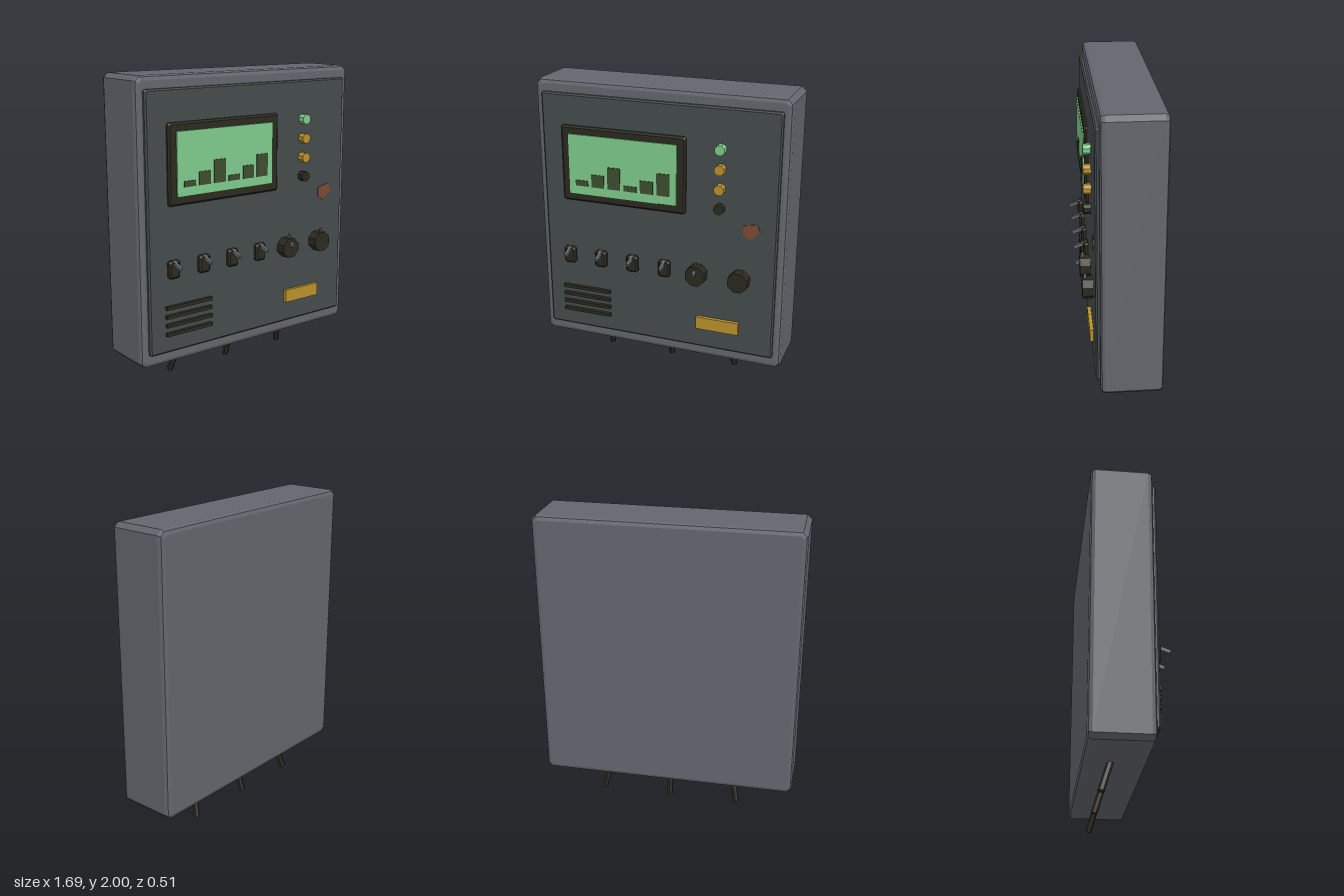
import * as THREE from 'three';

const mat = (name, color, side = THREE.FrontSide) => {
  const m = new THREE.MeshStandardMaterial({ color, side });
  m.name = name;
  return m;
};

export function createModel() {
  const model = new THREE.Group();
  model.name = 'controlPanel';
  const casing = mat('casingGrey', 0x63666d);
  const plate = mat('plateGrey', 0x454b4c);
  const dark = mat('darkPlastic', 0x2b2a20);
  const green = mat('screenGreen', 0x7ecb8b);
  const bar = mat('barGreen', 0x3b4d2e);
  const gold = mat('amber', 0xba902c);
  const rust = mat('rust', 0x7a4a33);

  const add = (name, geometry, material, parent = model) => {
    const mesh = new THREE.Mesh(geometry, material);
    mesh.name = name;
    parent.add(mesh);
    return mesh;
  };

  // Box given by its extents
  const box = (name, material, x0, x1, y0, y1, z0, z1) => {
    const mesh = add(name, new THREE.BoxGeometry(x1 - x0, y1 - y0, z1 - z0), material);
    mesh.position.set((x0 + x1) / 2, (y0 + y1) / 2, (z0 + z1) / 2);
    return mesh;
  };

  // Box with bevelled edges and clipped corners
  const bevelBox = (name, material, x0, x1, y0, y1, z0, z1, b, segments = 1) => {
    const shape = new THREE.Shape([
      [x0 + b, y0], [x1 - b, y0], [x1, y0 + b], [x1, y1 - b],
      [x1 - b, y1], [x0 + b, y1], [x0, y1 - b], [x0, y0 + b],
    ].map(([x, y]) => new THREE.Vector2(x, y)));
    const geometry = new THREE.ExtrudeGeometry(shape, {
      depth: z1 - z0 - 2 * b, bevelEnabled: true, bevelSegments: segments,
      bevelSize: b, bevelThickness: b, bevelOffset: -b,
    });
    return add(name, geometry.translate(0, 0, z0 + b), material);
  };

  // Octagonal disc facing forward
  const disc = (name, material, x, y, z0, z1, r) => {
    const geometry = new THREE.CylinderGeometry(r, r, z1 - z0, 8).toNonIndexed();
    geometry.computeVertexNormals();
    geometry.rotateY(Math.PI / 8).rotateX(Math.PI / 2);
    add(name, geometry, material).position.set(x, y, (z0 + z1) / 2);
  };

  // Casing and front plate
  bevelBox('casing', casing, -0.847, 0.847, 0.19, 2, -0.255, 0.135, 0.03, 2);
  bevelBox('frontPlate', plate, -0.797, 0.797, 0.272, 1.92, 0.115, 0.16, 0.01);

  // Screen with bar chart
  bevelBox('screenFrame', dark, -0.655, 0.198, 1.21, 1.718, 0.145, 0.184, 0.012);
  box('screen', green, -0.6, 0.142, 1.265, 1.666, 0.18, 0.192);
  [0.037, 0.085, 0.147, 0.037, 0.085, 0.147].forEach((h, i) => {
    const x = -0.511 + i * 0.113;
    box('screenBar', bar, x - 0.044, x + 0.044, 1.323, 1.323 + h, 0.191, 0.197);
  });

  // Indicator lamps
  [green, gold, gold, dark].forEach((m, i) =>
    disc('lamp', m, 0.424, 1.664 - i * 0.128, 0.155, 0.207, 0.034));

  // Sticker
  const sticker = new THREE.Shape([
    [0.577, 1.12], [0.62, 1.09], [0.688, 1.15], [0.667, 1.2], [0.577, 1.182],
  ].map(([x, y]) => new THREE.Vector2(x, y)));
  add('sticker', new THREE.ExtrudeGeometry(sticker, { depth: 0.008, bevelEnabled: false }), rust)
    .position.z = 0.157;

  // Toggle switches: four housings, five levers
  for (let i = 0; i < 5; i++) {
    const x = -0.625 + i * 0.2265;
    if (i < 4) bevelBox('switchHousing', dark, x - 0.041, x + 0.041, 0.755, 0.87, 0.15, 0.192, 0.012);
    const lever = add('switchLever', new THREE.BoxGeometry(0.02, 0.022, 0.09), casing);
    lever.position.set(x, 0.846, 0.212);
    lever.rotation.x = 0.35;
  }

  // Rotary knobs with pointers
  for (const x of [0.282, 0.567]) {
    disc('knob', dark, x, 0.81, 0.155, 0.228, 0.07);
    box('knobPointer', casing, x - 0.004, x + 0.004, 0.83, 0.905, 0.2, 0.218);
  }

  // Vent slats and label plate
  for (let i = 0; i < 4; i++) {
    const y = 0.397 + i * 0.0575;
    box('ventSlat', dark, -0.684, -0.34, y - 0.011, y + 0.011, 0.155, 0.184);
  }
  box('labelPlate', gold, 0.28, 0.57, 0.414, 0.5, 0.155, 0.184);

  // Cable stubs under the casing
  for (const side of [-1, 0, 1]) {
    const top = new THREE.Vector3(side * 0.422, 0.23, -0.075);
    const bottom = new THREE.Vector3(side * 0.469, 0.006, -0.142);
    const axis = top.clone().sub(bottom);
    const geometry = new THREE.CylinderGeometry(0.021, 0.021, axis.length(), 6).toNonIndexed();
    geometry.computeVertexNormals();
    const stub = add('cableStub', geometry, dark);
    stub.position.copy(top).add(bottom).multiplyScalar(0.5);
    stub.quaternion.setFromUnitVectors(new THREE.Vector3(0, 1, 0), axis.normalize());
  }

  return model;
}
